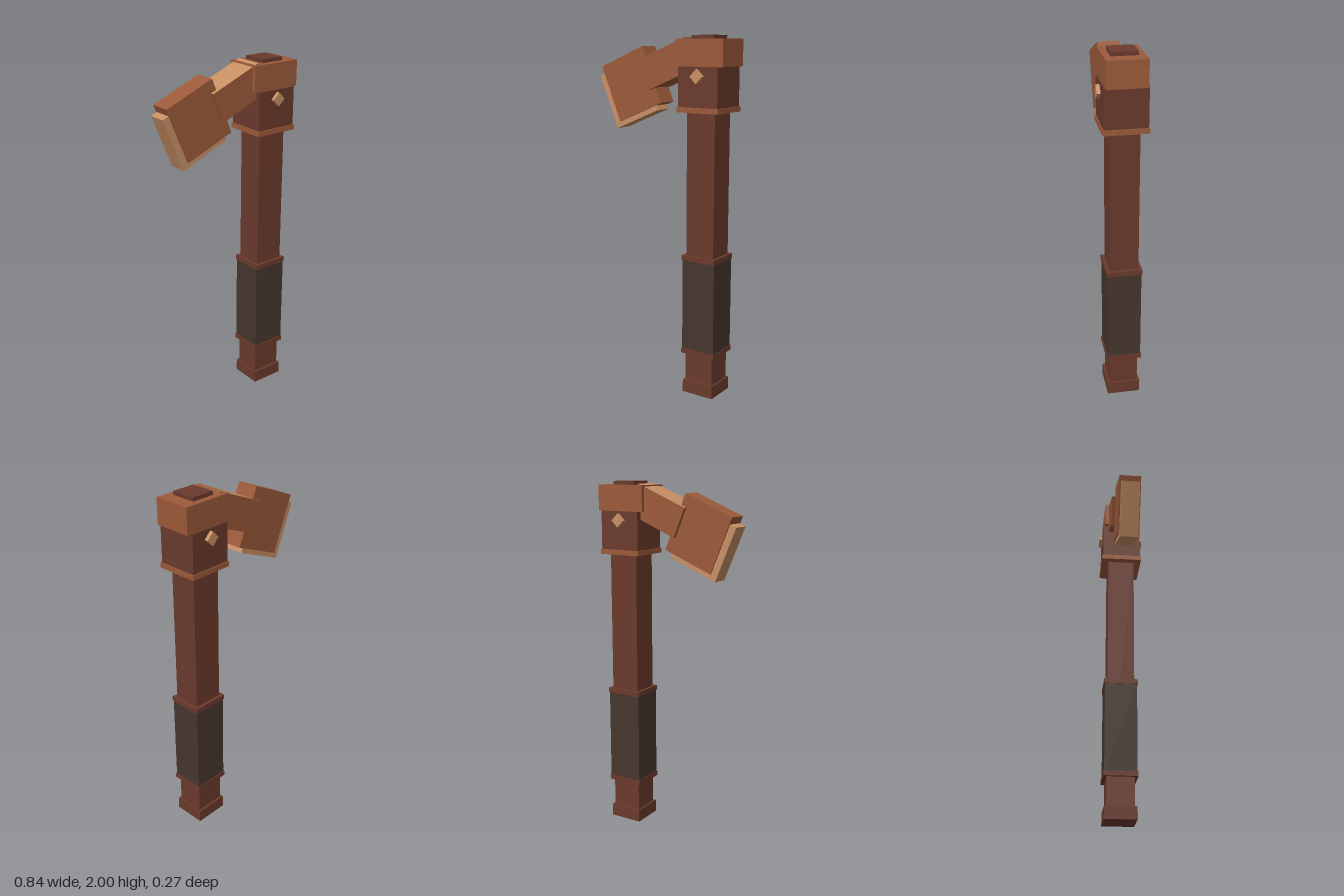
import * as THREE from 'three';

export function createModel() {
  const model = new THREE.Group();
  model.name = 'hammer';

  const mat = (name, color) => {
    const m = new THREE.MeshStandardMaterial({ color });
    m.name = name;
    return m;
  };
  const darkWood = mat('dark wood', 0x6b3a2c);
  const copper = mat('copper brown', 0x9c5a3a);
  const tan = mat('tan', 0xc89064);
  const leather = mat('dark leather', 0x46362e);

  const box = (name, material, [w, h, d], [x, y, z] = [0, 0, 0], parent = model) => {
    const mesh = new THREE.Mesh(new THREE.BoxGeometry(w, h, d), material);
    mesh.name = name;
    mesh.position.set(x, y, z);
    parent.add(mesh);
    return mesh;
  };

  // Upright stack: name, material, width, depth, bottom, top
  const axis = 0.274;
  const stack = [
    ['pommel', darkWood, 0.194, 0.184, 0, 0.072],
    ['shaft', darkWood, 0.173, 0.157, 0.072, 1.61],
    ['lowerGripBand', darkWood, 0.21, 0.195, 0.237, 0.265],
    ['grip', leather, 0.203, 0.186, 0.265, 0.782],
    ['upperGripBand', darkWood, 0.21, 0.195, 0.782, 0.81],
    ['collar', copper, 0.253, 0.24, 1.598, 1.626],
    ['socket', darkWood, 0.241, 0.228, 1.626, 1.838],
    ['cap', copper, 0.29, 0.21, 1.838, 1.98],
    ['topPlate', darkWood, 0.134, 0.139, 1.98, 2],
  ];
  for (const [name, material, w, d, y0, y1] of stack) {
    box(name, material, [w, y1 - y0, d], [axis, (y0 + y1) / 2, 0]);
  }

  // Diamond rivet passing through the socket
  box('rivet', tan, [0.054, 0.054, 0.268], [axis, 1.788, 0]).rotation.z = Math.PI / 4;

  // Tilted arm with a pale upper face
  const tilt = Math.PI / 8;
  const arm = [copper, copper, tan, copper, copper, copper];
  box('arm', arm, [0.317, 0.174, 0.167], [0.053, 1.847, 0]).rotation.z = tilt;

  // Tilted blade with a pale cutting edge showing below and outside
  const blade = new THREE.Group();
  blade.name = 'blade';
  blade.position.set(-0.197, 1.731, 0);
  blade.rotation.z = tilt;
  model.add(blade);
  box('bladeBody', copper, [0.304, 0.329, 0.123], [0, 0, 0], blade);
  box('bladeEdge', tan, [0.304, 0.316, 0.106], [-0.039, -0.034, 0], blade);

  return model;
}
